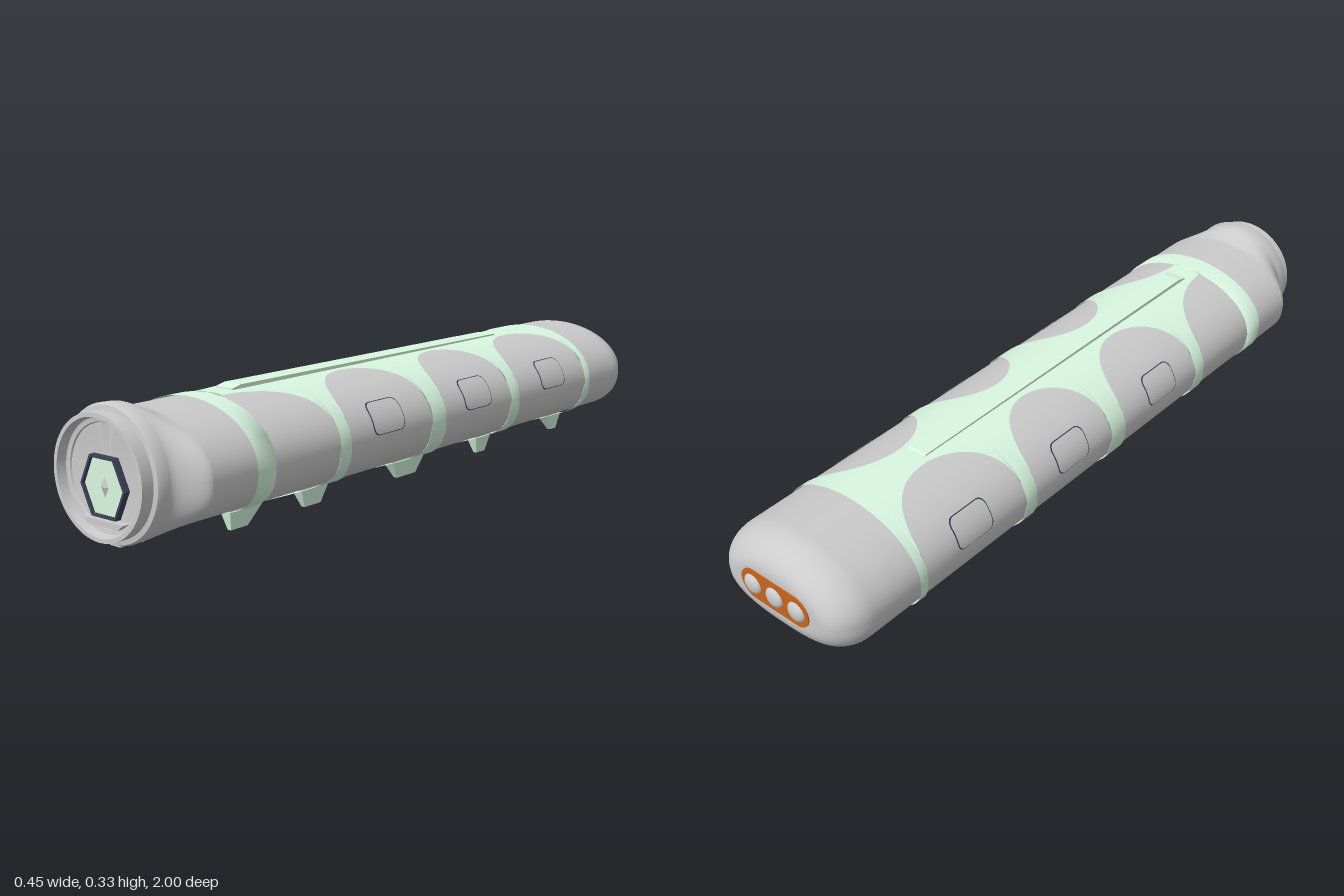
import * as THREE from 'three';
import { mergeVertices, toCreasedNormals } from 'three/addons/utils/BufferGeometryUtils.js';

const HALF_W = 0.22, MID_Y = 0.165, TOP = 0.14, BOTTOM = 0.125;
const N_TOP = 2, N_BOTTOM = 2.6;

const mat = (color) => new THREE.MeshStandardMaterial({ color, side: THREE.DoubleSide });

// Point on the body cross-section; angle runs from the top towards +x
function section(angle, grow = 0) {
  const s = Math.sin(angle), c = Math.cos(angle);
  const n = c >= 0 ? N_TOP : N_BOTTOM;
  const h = (c >= 0 ? TOP : BOTTOM) + grow;
  return [
    (HALF_W + grow) * Math.sign(s) * Math.abs(s) ** (2 / n),
    MID_Y + h * Math.sign(c) * Math.abs(c) ** (2 / n),
  ];
}

// Skin between rows of points [x, y, z], rows ordered by rising z
function skin(rows) {
  const cols = rows[0].length, index = [];
  for (let i = 0; i < rows.length - 1; i++) {
    for (let j = 0; j < cols - 1; j++) {
      const a = i * cols + j, b = a + cols;
      index.push(a, b, a + 1, b, b + 1, a + 1);
    }
  }
  const geo = new THREE.BufferGeometry();
  geo.setAttribute('position', new THREE.Float32BufferAttribute(rows.flat(2), 3));
  geo.setIndex(index);
  const merged = mergeVertices(geo, 1e-5);
  merged.computeVertexNormals();
  return merged;
}

// Patch lying on the body: each slice is [z, startAngle, endAngle]
function patch(slices, grow, cols = 40) {
  return skin(slices.map(([z, a0, a1]) =>
    Array.from({ length: cols + 1 }, (_, j) => [...section(a0 + (a1 - a0) * j / cols, grow), z])));
}

// Body: rounded back end, constant middle, front blending to a round neck
function bodyGeometry() {
  const ring = (z, inset, blend) => Array.from({ length: 97 }, (_, j) => {
    const a = j / 96 * Math.PI * 2;
    const [x, y] = section(a, -inset);
    return [
      THREE.MathUtils.lerp(x, 0.163 * Math.sin(a), blend),
      THREE.MathUtils.lerp(y, 0.167 + 0.163 * Math.cos(a), blend), z];
  });
  const rows = [ring(-0.985, 0, 0).map(() => [0, 0.172, -0.985])];
  for (let i = 0; i <= 12; i++) {
    const t = i / 12 * Math.PI / 2;
    rows.push(ring(-0.885 - 0.1 * Math.cos(t), 0.08 * (1 - Math.sin(t)), 0));
  }
  for (let i = 0; i <= 12; i++) {
    rows.push(ring(0.855 + 0.075 * i / 12, 0, THREE.MathUtils.smoothstep(i / 12, 0, 1)));
  }
  return skin(rows);
}

// Scalloped cover slices: bands reach the sides, panels cut in to `reach`
function coverSlices(reach, exponent, centre) {
  const slices = [];
  const add = (z, x) => {
    const a = Math.asin(Math.min(1, (x / HALF_W) ** (exponent / 2)));
    slices.push([z, centre - a, centre + a]);
  };
  const panels = [[-0.71, -0.35], [-0.31, 0], [0.06, 0.39], [0.43, 0.66]];
  add(-0.735, HALF_W);
  panels.forEach(([z0, z1], k) => {
    const half = k === 3; // the front panel is only half a scallop
    const steps = 28;
    for (let i = 0; i <= steps; i++) {
      const t = Math.PI * i / steps / (half ? 2 : 1);
      const z = half ? z1 - (z1 - z0) * Math.cos(t) : (z0 + z1) / 2 - (z1 - z0) / 2 * Math.cos(t);
      add(z, HALF_W - (HALF_W - reach) * Math.sin(t));
    }
  });
  add(0.66, HALF_W);
  add(0.72, HALF_W);
  return slices;
}

// Rounded rectangular patch on one side
function windowSlices(z, side, halfZ, halfA) {
  const slices = [], r = 0.02, centre = side * 1.25;
  for (let i = 0; i <= 32; i++) {
    const dz = -halfZ * Math.cos(Math.PI * i / 32);
    const e = Math.max(0, Math.abs(dz) - halfZ + r) / r;
    const a = halfA - 0.14 * (1 - Math.sqrt(Math.max(0, 1 - e * e)));
    slices.push([z + dz, centre - a, centre + a]);
  }
  return slices;
}

const polygon = (pts) => new THREE.Shape(pts.map(([x, y]) => new THREE.Vector2(x, y)));
const hexagon = (k) => polygon([[1, 0], [0.54, 1], [-0.54, 1], [-1, 0], [-0.54, -1], [0.54, -1]]
  .map(([x, y]) => [x * 0.07 * k, y * 0.067 * k]));
const extrude = (shape, depth) => new THREE.ExtrudeGeometry(shape, { depth, bevelEnabled: false, curveSegments: 24 });

// Foot block narrowing towards the ground
function footGeometry(top, bottom) {
  const geo = new THREE.BoxGeometry(1, 1, 1), p = geo.attributes.position;
  for (let i = 0; i < p.count; i++) {
    const [x0, x1, z0, z1, y] = p.getY(i) > 0 ? top : bottom;
    p.setXYZ(i, p.getX(i) < 0 ? x0 : x1, y, p.getZ(i) < 0 ? z0 : z1);
  }
  geo.computeVertexNormals();
  return geo;
}

export function createModel() {
  const model = new THREE.Group();
  const grey = mat(0xcccccc), green = mat(0xdaf8e2), dark = mat(0x3c4258), orange = mat(0xc8641e);
  const add = (name, geo, material, x = 0, y = 0, z = 0) => {
    const mesh = new THREE.Mesh(geo, material);
    mesh.name = name;
    mesh.position.set(x, y, z);
    model.add(mesh);
    return mesh;
  };

  add('body', bodyGeometry(), grey);

  // Scalloped covers over the top and underside
  add('topCover', patch(coverSlices(0.043, N_TOP, 0), 0.004), green);
  add('bottomCover', patch(coverSlices(0.1, N_BOTTOM, Math.PI), 0.004), green);

  // Raised spine along the top
  const spine = extrude(polygon([[-0.6, 0.295], [0.53, 0.295], [0.5, 0.312], [-0.02, 0.315], [-0.57, 0.318], [-0.6, 0.312]]), 0.056);
  spine.translate(0, 0, -0.028).rotateY(Math.PI / 2);
  add('spine', spine, green);

  for (const side of [1, -1]) {
    // Side windows
    for (const z of [0.235, -0.155, -0.535]) {
      add('windowSeam', patch(windowSlices(z, side, 0.063, 0.3), 0.001, 12), dark);
      add('windowPanel', patch(windowSlices(z, side, 0.06, 0.285), 0.002, 12), grey);
    }
    // Feet: centre, half length at the top, half length at the ground, ground shift
    for (const [z, long, short, shift] of [[0.655, 0.06, 0.028, 0.02], [0.415, 0.055, 0.03, 0],
      [0.035, 0.075, 0.04, 0], [-0.315, 0.04, 0.02, 0], [-0.69, 0.045, 0.015, -0.015]]) {
      const inner = side > 0 ? [0.087, 0.126] : [-0.126, -0.087];
      const tip = side > 0 ? [0.105, 0.116] : [-0.116, -0.105];
      add('foot', footGeometry([...inner, z - long, z + long, 0.058],
        [...tip, z + shift - short, z + shift + short, 0]), green);
    }
  }

  // Round collar with a recessed face
  const profile = [[0.162, 0.92], [0.164, 0.955], [0.16, 0.965], [0.148, 0.967], [0.148, 1],
    [0.138, 1], [0.134, 0.976], [0.123, 0.974], [0.121, 0.97], [0, 0.97]];
  const collar = new THREE.LatheGeometry(profile.map(([r, z]) => new THREE.Vector2(r, z)), 64);
  collar.rotateX(Math.PI / 2);
  add('collar', toCreasedNormals(collar, 0.5), grey, 0, 0.167, 0);
  add('collarTab', new THREE.BoxGeometry(0.036, 0.008, 0.03), grey, 0, 0.004, 0.94);

  // Hexagonal lens, its frame, centre gem and the ledge below
  const frame = hexagon(1.06);
  frame.holes.push(hexagon(0.97));
  add('hexFrame', extrude(frame, 0.018), dark, 0, 0.143, 0.968);
  add('hexLens', extrude(hexagon(0.98), 0.01), green, 0, 0.143, 0.968);
  const gem = add('lensGem', new THREE.OctahedronGeometry(1).toNonIndexed(), grey, 0, 0.143, 0.978);
  gem.scale.set(0.013, 0.025, 0.008);
  add('ledge', extrude(polygon([[-0.07, 0.068], [-0.05, 0.053], [0.05, 0.053], [0.07, 0.068]]), 0.022), grey, 0, 0, 0.968);

  // Back plate with three domed buttons
  const plate = new THREE.Shape();
  plate.absellipse(0.07, 0, 0.044, 0.044, -Math.PI / 2, Math.PI / 2);
  plate.absellipse(-0.07, 0, 0.044, 0.044, Math.PI / 2, Math.PI * 1.5);
  add('backPlate', extrude(plate, 0.02), orange, 0, 0.172, -0.988);
  for (const x of [-0.074, 0, 0.074]) {
    const button = add('button', new THREE.SphereGeometry(0.028, 24, 16), grey, x, 0.172, -0.986);
    button.scale.z = 0.5;
  }
  return model;
}
